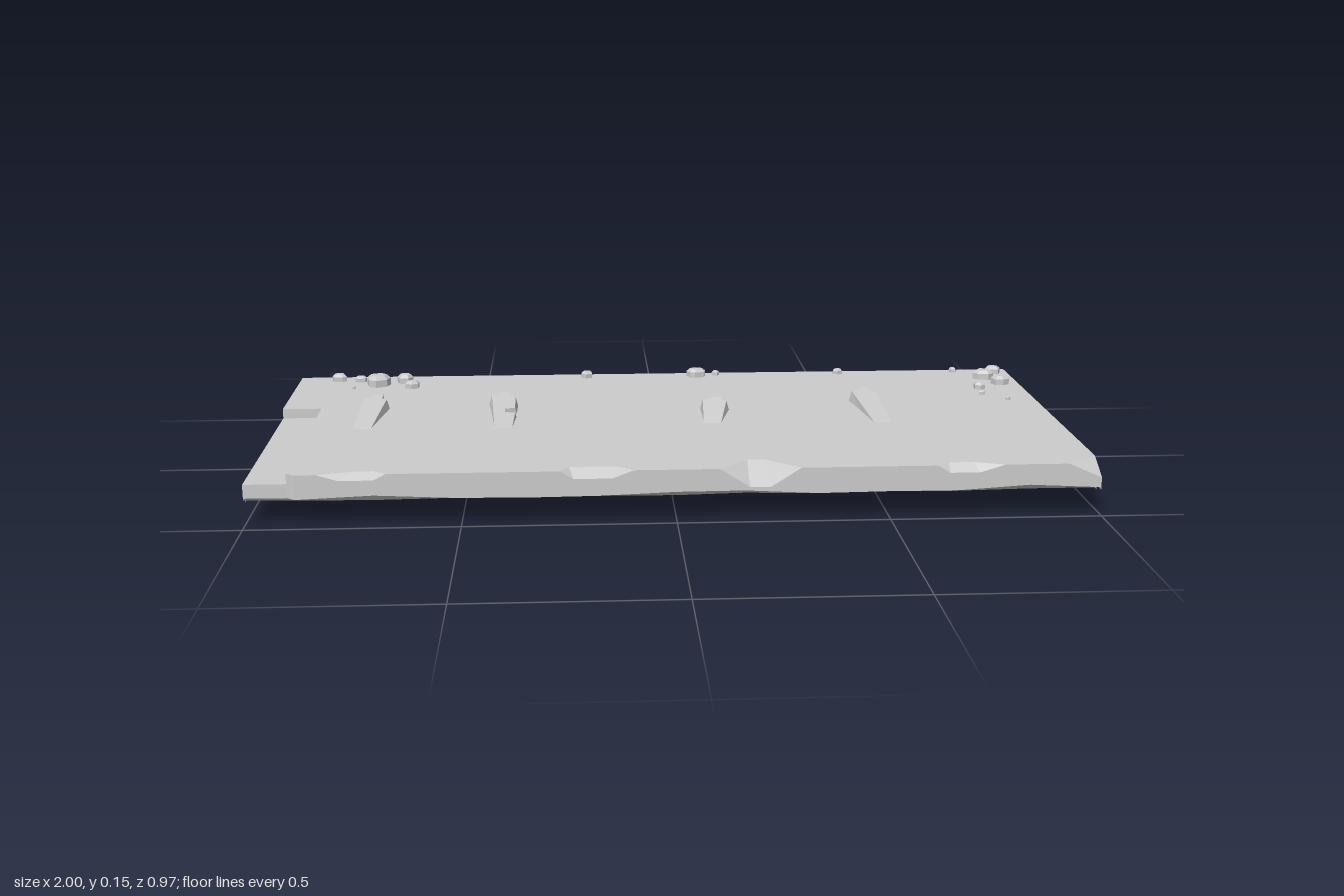
import * as THREE from 'three';

const stone = new THREE.MeshStandardMaterial({ color: 0xcccccc, side: THREE.DoubleSide, flatShading: true });
stone.name = 'grey stone';

const TOP = 0.125, FRONT = 0.485, BACK = -0.485, STEP = -0.125, LEDGE = 0.1;

export function createModel() {
  const model = new THREE.Group();
  model.name = 'brokenSlab';

  const add = (name, geometry) => {
    const mesh = new THREE.Mesh(geometry, stone);
    mesh.name = name;
    model.add(mesh);
    return mesh;
  };

  // Flat sheet from a 2D outline (counter-clockwise from outside), placed by a mapping rule
  const sheet = (name, outline, place) => {
    const pts = outline.map(([u, v]) => new THREE.Vector2(u, v));
    const g = new THREE.BufferGeometry();
    g.setAttribute('position', new THREE.Float32BufferAttribute(outline.flatMap(([u, v]) => place(u, v)), 3));
    g.setIndex(THREE.ShapeUtils.triangulateShape(pts, []).flat());
    const flat = g.toNonIndexed();
    flat.computeVertexNormals();
    return add(name, flat);
  };
  const rect = (a, b, c, d) => [[a, b], [c, b], [c, d], [a, d]];

  // Triangles or quads given directly as corners
  const facets = (name, faces) => {
    const p = faces.flatMap(f => f.slice(2).flatMap((c, i) => [...f[0], ...f[i + 1], ...c]));
    const g = new THREE.BufferGeometry();
    g.setAttribute('position', new THREE.Float32BufferAttribute(p, 3));
    g.computeVertexNormals();
    return add(name, g);
  };

  // Chips in the front edge: start, end, inner x pair and depth, lower x pair and height
  const chips = [
    { x0: -0.83, x1: -0.67, a: -0.74, b: -0.7, z: 0.46, c: -0.78, d: -0.7, y: 0.11 },
    { x0: -0.27, x1: -0.1, a: -0.25, b: -0.14, z: 0.45, c: -0.24, d: -0.15, y: 0.106 },
    { x0: 0.1, x1: 0.29, a: 0.17, b: 0.21, z: 0.41, c: 0.17, d: 0.22, y: 0.08 },
    { x0: 0.61, x1: 0.77, a: 0.64, b: 0.7, z: 0.46, c: 0.64, d: 0.71, y: 0.107 },
  ];
  const topEdge = chips.flatMap(k => [[k.x0, FRONT], [k.a, k.z], [k.b, k.z], [k.x1, FRONT]]);
  const faceEdge = chips.flatMap(k => [[k.x0, TOP], [k.c, k.y], [k.d, k.y], [k.x1, TOP]]);
  for (const k of chips) {
    const s = [k.x0, TOP, FRONT], e = [k.x1, TOP, FRONT];
    const a = [k.a, TOP, k.z], b = [k.b, TOP, k.z], c = [k.c, k.y, FRONT], d = [k.d, k.y, FRONT];
    facets('edgeChip', [[s, c, a], [a, c, d, b], [b, d, e]]);
  }
  facets('cornerChip', [[[0.92, TOP, FRONT], [1, 0.09, FRONT], [1, TOP, 0.42]]]);

  // Deck, with a sunken ledge along one end
  sheet('deck', [[-0.9, 0.47], [-0.88, FRONT], ...topEdge, [0.92, FRONT], [1, 0.42],
    [1, BACK], [-1, BACK], [-1, -0.13], [-0.9, -0.13]].map(([x, z]) => [x, -z]), (x, v) => [x, TOP, -v]);
  sheet('ledge', rect(-1, -0.47, -0.9, 0.13), (x, v) => [x, LEDGE, -v]);
  sheet('ledgeSideRiser', rect(-0.13, LEDGE, 0.47, TOP), (z, y) => [-0.9, y, z]);
  sheet('ledgeBackRiser', rect(-1, LEDGE, -0.9, TOP), (x, y) => [x, y, -0.13]);

  // Ragged front: wavy lower edge and an undercut lip
  const waveY = x => 0.067 + 0.005 * Math.sin(x * 8 + 1) + 0.003 * Math.sin(x * 17);
  const waveZ = x => 0.46 + 0.009 * Math.sin(x * 9 + 2);
  const xs = [-1, -0.9, -0.88, -0.7, -0.52, -0.35, -0.18, 0, 0.16, 0.33, 0.5, 0.66, 0.83, 1];
  const frontZ = x => (x < -0.89 ? 0.47 : FRONT);
  sheet('frontFace', [...xs.slice(2).map(x => [x, waveY(x)]), [1, 0.09], [0.92, TOP],
    ...faceEdge.reverse(), [-0.88, TOP]], (x, y) => [x, y, FRONT]);
  facets('ledgeFront', [
    [[-1, waveY(-1), 0.47], [-0.9, waveY(-0.9), 0.47], [-0.9, LEDGE, 0.47], [-1, LEDGE, 0.47]],
    [[-0.9, waveY(-0.9), 0.47], [-0.88, waveY(-0.88), FRONT], [-0.88, TOP, FRONT], [-0.9, TOP, 0.47]],
  ]);
  facets('frontLip', xs.slice(1).map((x, i) => {
    const w = xs[i];
    return [[w, 0.058, waveZ(w)], [x, 0.058, waveZ(x)], [x, waveY(x), frontZ(x)], [w, waveY(w), frontZ(w)]];
  }));

  // Ends and the deep rear block; the thin front half is open underneath
  sheet('leftEnd', [[0.45, 0.05], [STEP, 0.05], [STEP, 0], [BACK, 0], [BACK, TOP], [0.42, TOP],
    [FRONT, 0.09], [FRONT, 0.06], [0.45, 0.06]].map(([z, y]) => [-z, y]), (v, y) => [1, y, -v]);
  sheet('rightEnd', [[BACK, 0], [STEP, 0], [STEP, 0.05], [0.45, 0.05], [0.45, 0.06], [0.47, 0.06],
    [0.47, LEDGE], [-0.13, LEDGE], [-0.13, TOP], [BACK, TOP]], (z, y) => [-1, y, z]);
  sheet('backFace', rect(-1, 0, 1, TOP), (u, y) => [-u, y, BACK]);
  sheet('blockBottom', rect(-1, BACK, 1, STEP), (x, z) => [x, 0, z]);
  sheet('blockRiser', rect(-1, 0, 1, LEDGE), (x, y) => [x, y, STEP]);

  // Splintered beams, tilted so the front end sinks through the deck
  const beams = [
    { x: -0.77, z: 0.08, len: 0.24, turn: -0.06 },
    { x: -0.415, z: 0.09, len: 0.265, turn: 0.03, notch: true },
    { x: 0.115, z: 0.07, len: 0.16, turn: -0.12 },
    { x: 0.55, z: 0.09, len: 0.26, turn: 0.06 },
  ];
  for (const b of beams) {
    const L = b.len;
    const side = b.notch ? [[0.03, L * 0.4], [0.004, L * 0.42], [0.004, L * 0.51], [0.03, L * 0.53]] : [];
    const outline = [[-0.022, 0], [0.022, 0], ...side, [0.031, L * 0.85], [0.018, L * 0.88], [0.016, L],
      [-0.008, L * 0.98], [-0.012, L * 0.92], [-0.031, L * 0.9]];
    const g = new THREE.ExtrudeGeometry(new THREE.Shape(outline.map(p => new THREE.Vector2(...p))),
      { depth: 0.035, bevelEnabled: false });
    g.rotateX(-Math.PI / 2).translate(0, -0.035, 0);
    // widen the underside
    const p = g.attributes.position;
    for (let i = 0; i < p.count; i++) if (p.getY(i) < -0.01) p.setX(i, p.getX(i) * 1.3);
    g.computeVertexNormals();
    const mesh = add('splinteredBeam', g);
    mesh.position.set(b.x, TOP, b.z);
    mesh.rotation.set(Math.atan(0.03 / L), b.turn, 0, 'YXZ');
  }

  // Rubble along the back: x, z, radius
  let seed = 7;
  const rand = () => (seed = (seed * 16807) % 2147483647) / 2147483647;
  const rubble = [
    [-0.89, -0.445, 0.02], [-0.83, -0.43, 0.015], [-0.775, -0.385, 0.034], [-0.705, -0.415, 0.025],
    [-0.68, -0.35, 0.02], [-0.84, -0.345, 0.005], [-0.2, -0.45, 0.017], [0.11, -0.445, 0.024],
    [0.165, -0.457, 0.01], [0.515, -0.457, 0.012], [0.845, -0.457, 0.011], [0.955, -0.44, 0.021],
    [0.915, -0.38, 0.027], [0.945, -0.31, 0.026], [0.88, -0.26, 0.017], [0.87, -0.19, 0.009], [0.925, -0.13, 0.007],
  ];
  for (const [x, z, r] of rubble) {
    const h = 0.006 + r * 0.7;
    const n = 6, turn = rand() * 6;
    const ring = Array.from({ length: n }, (_, i) => {
      const a = turn + ((i + rand() * 0.5) / n) * Math.PI * 2, k = r * (0.85 + rand() * 0.35);
      return [Math.sin(a) * k, Math.cos(a) * k * 0.85];
    });
    const at = (i, s, y) => [ring[i % n][0] * s, y, ring[i % n][1] * s];
    const faces = [ring.map((_, i) => at(i, 0.65, h))];
    for (let i = 0; i < n; i++) {
      faces.push([at(i, 1, 0), at(i + 1, 1, 0), at(i + 1, 1, h * 0.65), at(i, 1, h * 0.65)]);
      faces.push([at(i, 1, h * 0.65), at(i + 1, 1, h * 0.65), at(i + 1, 0.65, h), at(i, 0.65, h)]);
    }
    const rock = facets('rubble', faces);
    rock.position.set(x, TOP, z);
  }
  return model;
}
